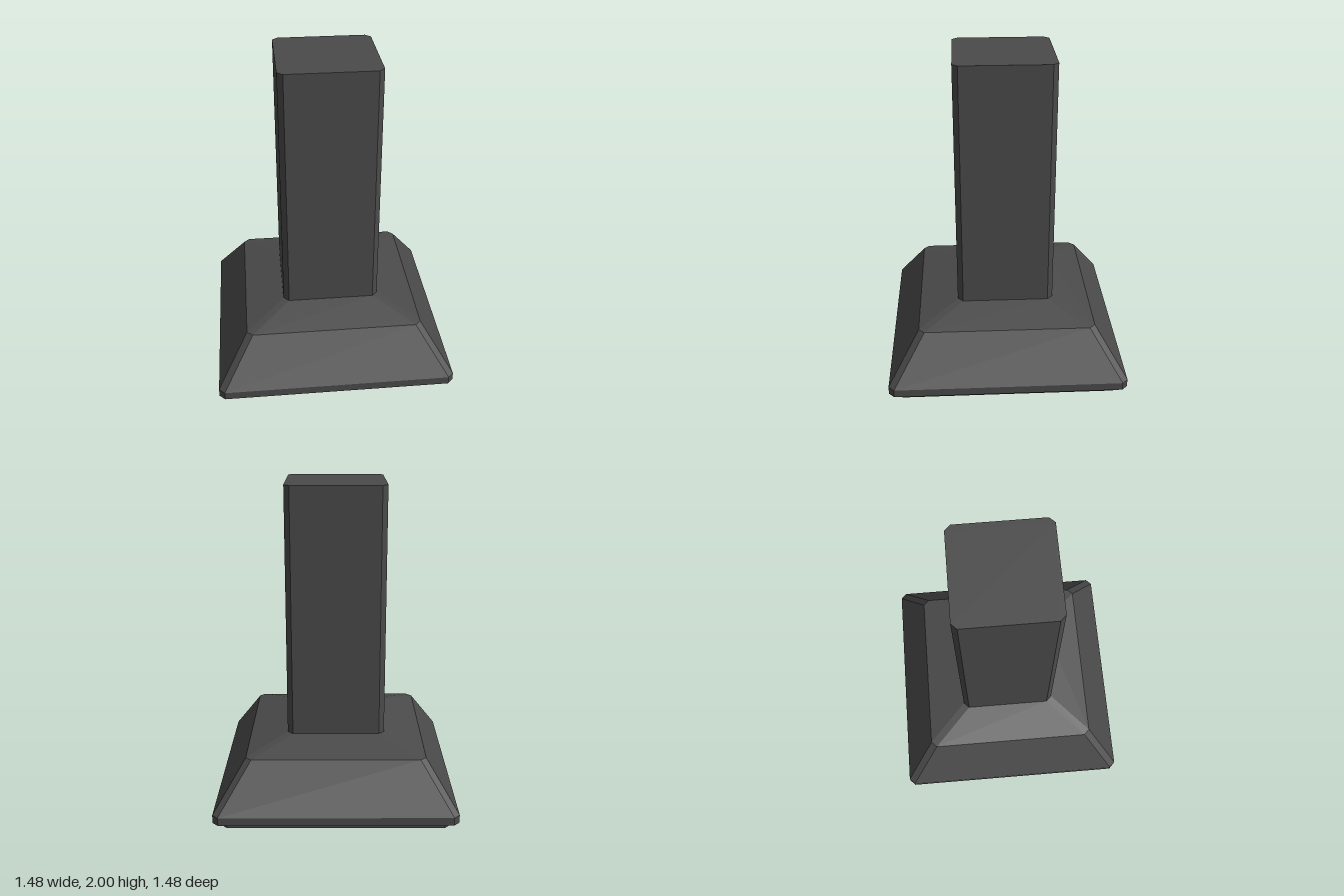
import * as THREE from 'three';

// Square outline with cut corners, half-width h and cut c, at height y
function ring([y, h, c]) {
  const k = h - c;
  return [[k, h], [h, k], [h, -k], [k, -h], [-k, -h], [-h, -k], [-h, k], [-k, h]]
    .map(([x, z]) => [x, y, z]);
}

// Closed solid through a stack of outlines, listed bottom to top
function loft(name, levels, material) {
  const rings = levels.map(ring);
  const points = [];
  const n = 8;
  for (let r = 0; r < rings.length - 1; r++) {
    const lower = rings[r], upper = rings[r + 1];
    for (let i = 0; i < n; i++) {
      const j = (i + 1) % n;
      points.push(lower[i], lower[j], upper[j], lower[i], upper[j], upper[i]);
    }
  }
  const bottom = rings[0], top = rings[rings.length - 1];
  for (let i = 1; i < n - 1; i++) {
    points.push(bottom[0], bottom[i + 1], bottom[i]);
    points.push(top[0], top[i], top[i + 1]);
  }
  const geometry = new THREE.BufferGeometry();
  geometry.setAttribute('position', new THREE.Float32BufferAttribute(points.flat(), 3));
  geometry.computeVertexNormals();
  const mesh = new THREE.Mesh(geometry, material);
  mesh.name = name;
  return mesh;
}

export function createModel() {
  const group = new THREE.Group();
  group.name = 'pedestal';
  const darkGrey = new THREE.MeshStandardMaterial({ color: 0x4a4a4a });
  darkGrey.name = 'dark grey';

  group.add(
    // Recessed plinth under the base
    loft('plinth', [[0, 0.69, 0.033], [0.045, 0.69, 0.033]], darkGrey),
    // Flared base: short rim, steep skirt, shallow shoulder
    loft('base', [
      [0.045, 0.74, 0.035], [0.095, 0.74, 0.035],
      [0.382, 0.55, 0.035], [0.447, 0.305, 0.034],
    ], darkGrey),
    // Square column with chamfered corners
    loft('column', [[0.447, 0.305, 0.034], [2, 0.305, 0.034]], darkGrey),
  );
  return group;
}
